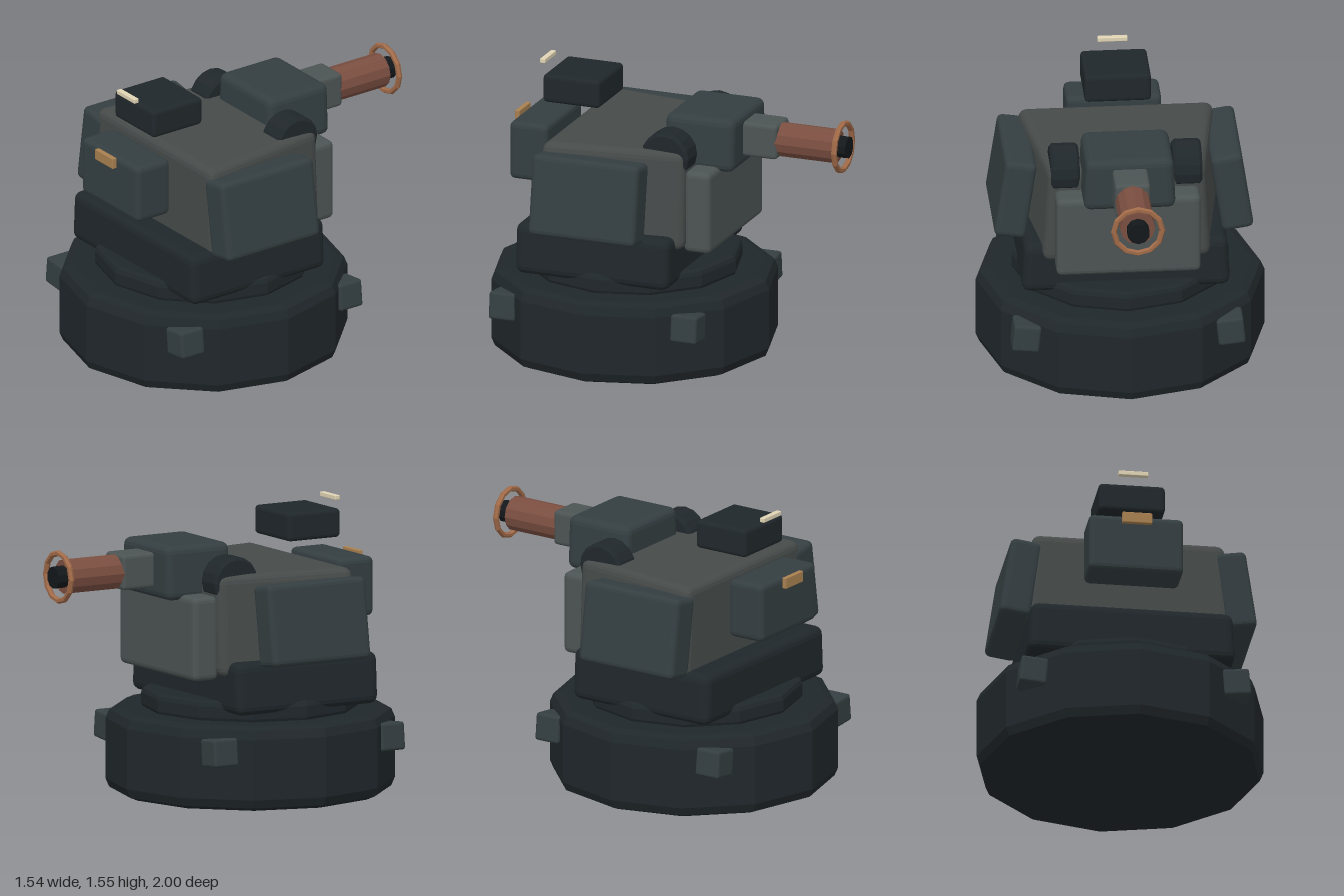
import * as THREE from 'three';
import { RoundedBoxGeometry } from 'three/addons/geometries/RoundedBoxGeometry.js';

const COLORS = {
  dark: 0x20272b, panel: 0x343e41, hull: 0x464b4a, plate: 0x4c5453,
  barrel: 0x7a4e40, copper: 0xa06a48, amber: 0xa88050, cream: 0xe0d4b4, black: 0x14181a,
};

export function createModel() {
  const model = new THREE.Group();
  const mats = {};
  for (const key in COLORS) {
    mats[key] = new THREE.MeshStandardMaterial({ color: COLORS[key], flatShading: true });
  }

  function add(name, geometry, mat, x, y, z) {
    const mesh = new THREE.Mesh(geometry, mats[mat]);
    mesh.name = name;
    mesh.position.set(x, y, z);
    model.add(mesh);
    return mesh;
  }

  // Bevelled box given by its extents on each axis
  function box(name, mat, [x0, x1], [y0, y1], [z0, z1], bevel = 0.03) {
    const g = new RoundedBoxGeometry(x1 - x0, y1 - y0, z1 - z0, 2, bevel);
    return add(name, g, mat, (x0 + x1) / 2, (y0 + y1) / 2, (z0 + z1) / 2);
  }

  // Narrow a box along x by a scale depending on the vertex position
  function taper(mesh, scaleAt) {
    const p = mesh.geometry.attributes.position;
    for (let i = 0; i < p.count; i++) {
      p.setX(i, p.getX(i) * scaleAt(p.getY(i), p.getZ(i)));
    }
    return mesh;
  }

  // Bevelled upright disc, 12 sided
  function disc(name, mat, r, y0, y1, b, z) {
    const profile = [
      [0, y0], [r - b, y0], [r - b * 0.3, y0 + b * 0.3], [r, y0 + b],
      [r, y1 - b], [r - b * 0.3, y1 - b * 0.3], [r - b, y1], [0, y1],
    ].map(([x, y]) => new THREE.Vector2(x, y));
    return add(name, new THREE.LatheGeometry(profile, 12), mat, 0, 0, z);
  }

  // Rotating base
  disc('base', 'dark', 0.77, 0, 0.455, 0.065, 0.23);
  disc('turntable', 'dark', 0.58, 0.44, 0.56, 0.03, 0.23);
  for (const sx of [-1, 1]) {
    for (const z of [-0.295, 0.745]) {
      const lug = add('baseLug', new RoundedBoxGeometry(0.145, 0.15, 0.15, 2, 0.015),
        'panel', sx * 0.545, 0.32, z);
      lug.rotation.z = sx * 0.1;
    }
  }

  // Hull
  taper(box('lowerHull', 'dark', [-0.55, 0.55], [0.5, 0.78], [-0.18, 0.7], 0.045),
    (y) => 1 - y * 0.1);
  taper(box('upperHull', 'hull', [-0.53, 0.53], [0.7, 1.24], [-0.22, 0.56], 0.045),
    (y, z) => 0.91 + z * 0.26 - y * 0.1);
  box('rearPlate', 'plate', [-0.385, 0.385], [0.68, 1.13], [-0.355, -0.2], 0.03);

  // Tilted side armour and gun pivots
  for (const sx of [-1, 1]) {
    const armour = add('sideArmour', new RoundedBoxGeometry(0.17, 0.44, 0.61, 2, 0.03),
      'panel', sx * 0.578, 0.98, 0.263);
    armour.rotation.z = sx * 0.15;

    const pivotProfile = [[0, -0.077], [0.12, -0.077], [0.135, -0.062],
      [0.135, 0.062], [0.12, 0.077], [0, 0.077]].map(([x, y]) => new THREE.Vector2(x, y));
    const pivot = add('gunPivot', new THREE.LatheGeometry(pivotProfile, 16),
      'dark', sx * 0.327, 1.2, -0.1);
    pivot.rotation.z = Math.PI / 2;
  }

  // Gun
  taper(box('gunHousing', 'panel', [-0.24, 0.24], [1.1, 1.39], [-0.43, -0.035], 0.04),
    (y) => 1 - y * 0.2);
  box('gunCollar', 'plate', [-0.094, 0.094], [1.155, 1.345], [-0.62, -0.38], 0.02);
  const alongZ = (g) => g.rotateX(Math.PI / 2);
  add('barrel', alongZ(new THREE.CylinderGeometry(0.093, 0.093, 0.335, 12)),
    'barrel', 0, 1.247, -0.767);
  add('muzzleRing', new THREE.TorusGeometry(0.129, 0.016, 6, 12), 'copper', 0, 1.247, -0.965);
  add('muzzle', alongZ(new THREE.CylinderGeometry(0.06, 0.06, 0.07, 10)),
    'black', 0, 1.247, -0.965);

  // Front pack, sensor head and lights
  box('frontPack', 'panel', [-0.255, 0.255], [0.92, 1.24], [0.63, 0.85], 0.03);
  box('amberLight', 'amber', [-0.08, 0.08], [1.185, 1.245], [0.858, 0.885], 0.004);
  box('sensorHead', 'dark', [-0.178, 0.178], [1.345, 1.5], [0.362, 0.688], 0.022);
  box('creamLight', 'cream', [-0.08, 0.08], [1.528, 1.553], [0.712, 0.742], 0.004);

  return model;
}
